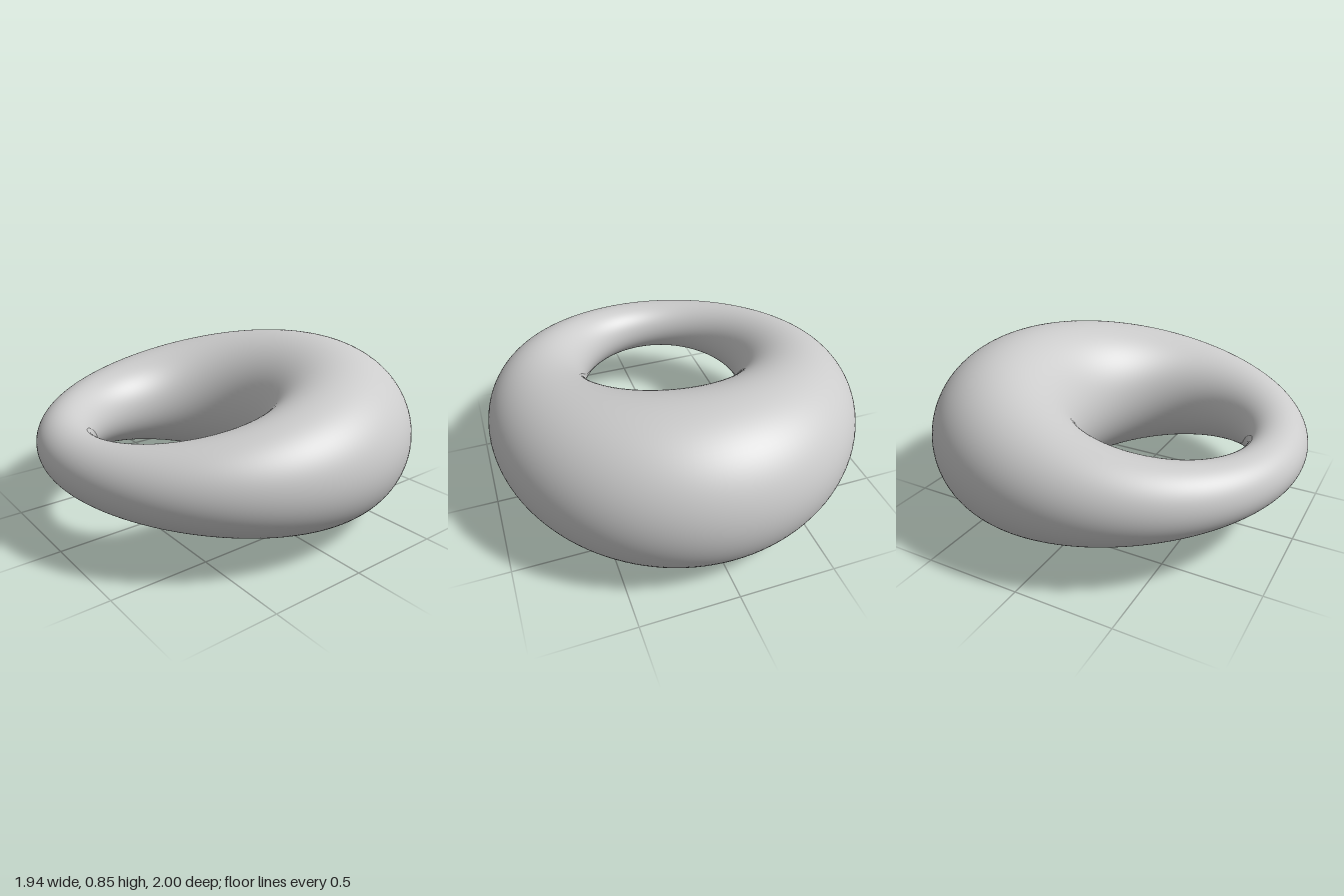
import * as THREE from 'three';

// Ring with circular cross-sections that fill the gap between an
// off-centre round hole and an almost round outer rim.
const HOLE = { x: -0.037, z: 0.278, r: 0.434 };
const RIM = { x: 0.97, z: 1 };
const MID_Y = 0.425;

// Distance from the hole's centre to the rim along direction (dx, dz)
function rimDistance(dx, dz) {
  const a = (dx / RIM.x) ** 2 + (dz / RIM.z) ** 2;
  const b = (HOLE.x * dx) / RIM.x ** 2 + (HOLE.z * dz) / RIM.z ** 2;
  const c = (HOLE.x / RIM.x) ** 2 + (HOLE.z / RIM.z) ** 2 - 1;
  return (-b + Math.sqrt(b * b - a * c)) / a;
}

function taperedRing(around, sides) {
  const positions = [];
  const indices = [];
  for (let i = 0; i < around; i++) {
    const phi = (i / around) * Math.PI * 2;
    const dx = Math.cos(phi);
    const dz = Math.sin(phi);
    const radius = (rimDistance(dx, dz) - HOLE.r) / 2;
    for (let j = 0; j < sides; j++) {
      const psi = (j / sides) * Math.PI * 2;
      const d = HOLE.r + radius * (1 + Math.cos(psi));
      positions.push(HOLE.x + d * dx, MID_Y + radius * Math.sin(psi), HOLE.z + d * dz);

      // Both directions wrap, so the surface is closed and seamless
      const i2 = (i + 1) % around;
      const j2 = (j + 1) % sides;
      const a = i * sides + j;
      const b = i * sides + j2;
      const c = i2 * sides + j2;
      const e = i2 * sides + j;
      indices.push(a, b, c, a, c, e);
    }
  }
  const geometry = new THREE.BufferGeometry();
  geometry.setAttribute('position', new THREE.Float32BufferAttribute(positions, 3));
  geometry.setIndex(indices);
  geometry.computeVertexNormals();
  return geometry;
}

export function createModel() {
  const group = new THREE.Group();
  group.name = 'taperedRingModel';
  const material = new THREE.MeshStandardMaterial({ color: 0xcccccc });
  const ring = new THREE.Mesh(taperedRing(160, 96), material);
  ring.name = 'taperedRing';
  group.add(ring);
  return group;
}
